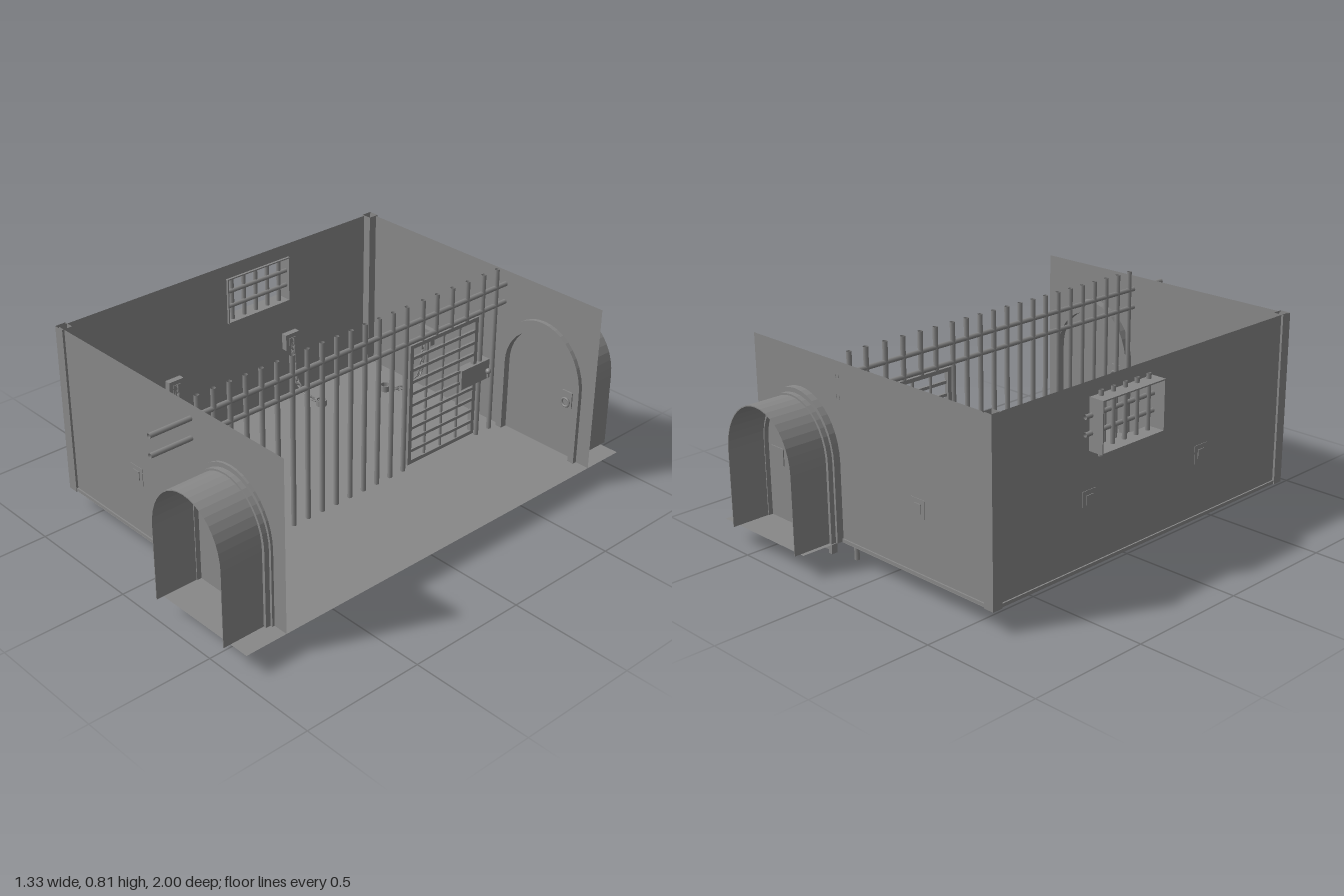
import * as THREE from 'three';

const COLOR = 0x888888;
const mat = new THREE.MeshStandardMaterial({ color: COLOR, side: THREE.DoubleSide, flatShading: true });
const smooth = new THREE.MeshStandardMaterial({ color: COLOR, side: THREE.DoubleSide });
const FLOOR = 0.09, TOP = 0.787, DOOR_X = 0.393, RIGHT = 0.663, WALL_Z = 0.793;

function add(parent, name, geo, x = 0, y = 0, z = 0, m = mat) {
  const mesh = new THREE.Mesh(geo, m);
  mesh.name = name;
  mesh.position.set(x, y, z);
  parent.add(mesh);
  return mesh;
}
function box(parent, name, w, h, d, x, y, z) {
  return add(parent, name, new THREE.BoxGeometry(w, h, d), x, y, z);
}
// Open-ended round bar along 'y' or 'z'
function bar(parent, name, r, from, to, axis, x, y, z) {
  const mid = (from + to) / 2;
  const geo = new THREE.CylinderGeometry(r, r, to - from, 8, 1, true);
  const mesh = add(parent, name, geo, x, axis === 'y' ? mid : y, axis === 'z' ? mid : z, smooth);
  if (axis === 'z') mesh.rotation.x = Math.PI / 2;
  return mesh;
}
// Outline of an arch from its lower right to its lower left corner
function archPoints(hw, top, bottom, cx = 0, spring = 0.4) {
  const pts = [new THREE.Vector2(cx + hw, bottom)];
  for (let i = 0; i <= 20; i++) {
    const a = Math.PI * i / 20;
    pts.push(new THREE.Vector2(cx + hw * Math.cos(a), spring + (top - spring) * Math.sin(a)));
  }
  pts.push(new THREE.Vector2(cx - hw, bottom));
  return pts;
}
function archBand(parent, name, outer, inner, bottom, z0, z1) {
  const pts = [...archPoints(outer[0], outer[1], bottom), ...archPoints(inner[0], inner[1], bottom).reverse()];
  const geo = new THREE.ExtrudeGeometry(new THREE.Shape(pts), { depth: z1 - z0, bevelEnabled: false });
  return add(parent, name, geo, 0, 0, z0);
}

// Arched door with frames on both wall faces and a vaulted passage outside
function doorway(name, tunnelEnd) {
  const g = new THREE.Group();
  g.name = name;
  archBand(g, 'innerFrame', [0.208, 0.64], [0.179, 0.588], FLOOR, 0.757, 0.783);
  archBand(g, 'middleFrame', [0.208, 0.64], [0.179, 0.588], FLOOR, 0.783, 0.803);
  archBand(g, 'outerFrame', [0.198, 0.622], [0.179, 0.588], 0.05, 0.797, 0.823);
  archBand(g, 'passageVault', [0.186, 0.615], [0.183, 0.611], FLOOR, 0.8, tunnelEnd);
  const panel = new THREE.ExtrudeGeometry(new THREE.Shape(archPoints(0.181, 0.59, 0.05)), { depth: 0.018, bevelEnabled: false });
  add(g, 'doorPanel', panel, 0, 0, 0.786);
  box(g, 'outerLockPlate', 0.07, 0.068, 0.005, -0.123, 0.345, 0.8055);
  box(g, 'innerLockPlate', 0.05, 0.07, 0.008, -0.133, 0.345, 0.783);
  add(g, 'ringHandle', new THREE.TorusGeometry(0.018, 0.005, 6, 14), -0.133, 0.335, 0.772, smooth);
  return g;
}

// Wall plate showing on both faces, hanging chain and shackle; local +z points into the room
function chain(x, z, turn, end, upright) {
  const g = new THREE.Group();
  g.name = 'wallChain';
  g.position.set(x, 0, z);
  g.rotation.y = turn;
  box(g, 'chainPlate', 0.072, 0.072, 0.028, 0, 0.35, 0.008);
  box(g, 'chainPlateBoss', 0.036, 0.036, 0.034, 0, 0.35, 0.008);
  const [ex, ez] = end;
  const path = new THREE.CatmullRomCurve3([[0, 0.35, 0.022], [0, 0.26, 0.03], [ex * 0.06, 0.17, 0.045],
    [ex * 0.32, 0.125, ez * 0.6], [ex * 0.85, 0.12, ez * 0.9]].map(p => new THREE.Vector3(...p)));
  const n = Math.round(path.getLength() / 0.021);
  const link = new THREE.TorusGeometry(0.0095, 0.0038, 5, 10).scale(1.5, 1, 1).rotateY(Math.PI / 2);
  for (let i = 0; i <= n; i++) {
    const p = path.getPointAt(i / n), t = path.getTangentAt(i / n);
    const l = add(g, 'chainLink', link, p.x, p.y, p.z, smooth);
    l.quaternion.setFromUnitVectors(new THREE.Vector3(0, 0, 1), t);
    l.rotateZ(i % 2 ? Math.PI / 2 : 0);
  }
  const band = [[0.019, -0.013], [0.023, -0.013], [0.023, 0.013], [0.019, 0.013], [0.019, -0.013]];
  const s = add(g, 'shackle', new THREE.LatheGeometry(band.map(p => new THREE.Vector2(...p)), 18), ex, 0.125, ez);
  if (upright) s.rotation.x = Math.PI / 2;
  return g;
}

export function createModel() {
  const model = new THREE.Group();
  model.name = 'dungeonCell';

  // Floor with a landing under each passage
  const flat = (name, x0, x1, z0, z1) => add(model, name,
    new THREE.PlaneGeometry(x1 - x0, z1 - z0).rotateX(-Math.PI / 2), (x0 + x1) / 2, FLOOR, (z0 + z1) / 2);
  flat('floor', -0.605, RIGHT, -0.8, 0.8);
  flat('frontLanding', 0.19, RIGHT, 0.8, 0.97);
  flat('backLanding', 0.19, RIGHT, -0.975, -0.8);

  // Front and back walls, notched for the doors
  const outline = [new THREE.Vector2(-0.6, FLOOR), new THREE.Vector2(-0.6, TOP), new THREE.Vector2(RIGHT, TOP),
    new THREE.Vector2(RIGHT, FLOOR), ...archPoints(0.184, 0.6, FLOOR, DOOR_X)];
  const wallGeo = new THREE.ShapeGeometry(new THREE.Shape(outline));
  add(model, 'frontWall', wallGeo, 0, 0, WALL_Z);
  add(model, 'backWall', wallGeo, 0, 0, -WALL_Z);

  // Side wall with a window hole; shape x runs along -z
  const side = new THREE.Shape([[-0.797, FLOOR], [0.797, FLOOR], [0.797, TOP], [-0.797, TOP]].map(p => new THREE.Vector2(...p)));
  const rect = (x0, y0, x1, y1) => new THREE.Path([[x0, y0], [x0, y1], [x1, y1], [x1, y0]].map(p => new THREE.Vector2(...p)));
  side.holes.push(rect(0.004, 0.535, 0.324, 0.725));
  add(model, 'sideWall', new THREE.ShapeGeometry(side), -0.6, 0, 0).rotation.y = Math.PI / 2;

  // Open-topped corner posts and low trims along the outside of the walls
  for (const s of [-1, 1]) {
    const post = new THREE.CylinderGeometry(0.0315, 0.0315, TOP - 0.084, 4, 1, true).rotateY(Math.PI / 4);
    add(model, 'cornerPost', post, -0.587, (TOP + 0.088) / 2, s * 0.78);
    box(model, 'wallTrim', 0.77, 0.014, 0.006, -0.195, 0.095, s * (WALL_Z + 0.003));
  }
  box(model, 'wallTrim', 0.006, 0.014, 1.52, -0.603, 0.095, 0);

  // Window casing and its grille
  const casing = new THREE.Shape([[0, 0.531], [0.328, 0.531], [0.328, 0.729], [0, 0.729]].map(p => new THREE.Vector2(...p)));
  casing.holes.push(rect(0.005, 0.536, 0.323, 0.724));
  add(model, 'windowCasing', new THREE.ExtrudeGeometry(casing, { depth: 0.073, bevelEnabled: false }), -0.663, 0, 0).rotation.y = Math.PI / 2;
  for (let i = 0; i < 5; i++) bar(model, 'windowBar', 0.009, 0.507, 0.75, 'y', -0.617, 0, -0.04 - i * 0.062);
  for (const y of [0.6, 0.665]) bar(model, 'windowCrossBar', 0.009, -0.36, 0.005, 'z', -0.61, y, 0);

  // Bar partition
  const X = 0.18;
  for (let i = 0; i < 15; i++) bar(model, 'cellBar', 0.01, 0, 0.81, 'y', X, 0, 0.764 - i * 0.0716);
  for (const z of [-0.66, -0.737]) bar(model, 'cellBar', 0.01, 0, 0.81, 'y', X, 0, z);
  for (const z of [-0.325, -0.4, -0.485, -0.57]) bar(model, 'barAboveGate', 0.01, 0.64, 0.81, 'y', X, 0, z);
  for (const y of [0.652, 0.73]) bar(model, 'crossRail', 0.01, -0.795, 0.97, 'z', X, y, 0);

  // Barred gate with lock box
  const gate = new THREE.Group();
  gate.name = 'cellGate';
  model.add(gate);
  for (const z of [-0.265, -0.625]) box(gate, 'gateStile', 0.018, 0.53, 0.018, X, 0.375, z);
  for (const y of [0.118, 0.632]) box(gate, 'gateRail', 0.018, 0.016, 0.37, X, y, -0.445);
  for (let i = 1; i < 4; i++) bar(gate, 'gateBar', 0.006, 0.12, 0.63, 'y', X, 0, -0.265 - i * 0.09);
  for (let i = 1; i < 10; i++) box(gate, 'gateSlat', 0.01, 0.012, 0.355, X + 0.004, 0.118 + i * 0.0514, -0.445);
  box(gate, 'lockBox', 0.034, 0.085, 0.16, X + 0.001, 0.39, -0.62);
  add(gate, 'lockKnob', new THREE.SphereGeometry(0.012, 10, 8), 0.207, 0.385, -0.686, smooth);
  box(gate, 'lockLever', 0.008, 0.035, 0.01, 0.207, 0.375, -0.686);

  // Doorways
  const front = doorway('frontDoorway', 1.0);
  front.position.x = DOOR_X;
  const back = doorway('backDoorway', 0.982);
  back.position.set(DOOR_X, 0, -0.018);
  back.rotation.y = Math.PI;
  model.add(front, back);

  // Wall chains
  model.add(
    chain(-0.232, -0.789, 0, [-0.08, 0.17], false),
    chain(-0.596, -0.325, Math.PI / 2, [0.005, 0.196], false),
    chain(-0.596, 0.29, Math.PI / 2, [-0.115, 0.128], true),
    chain(-0.16, 0.789, Math.PI, [0, 0.2], false)
  );
  return model;
}
